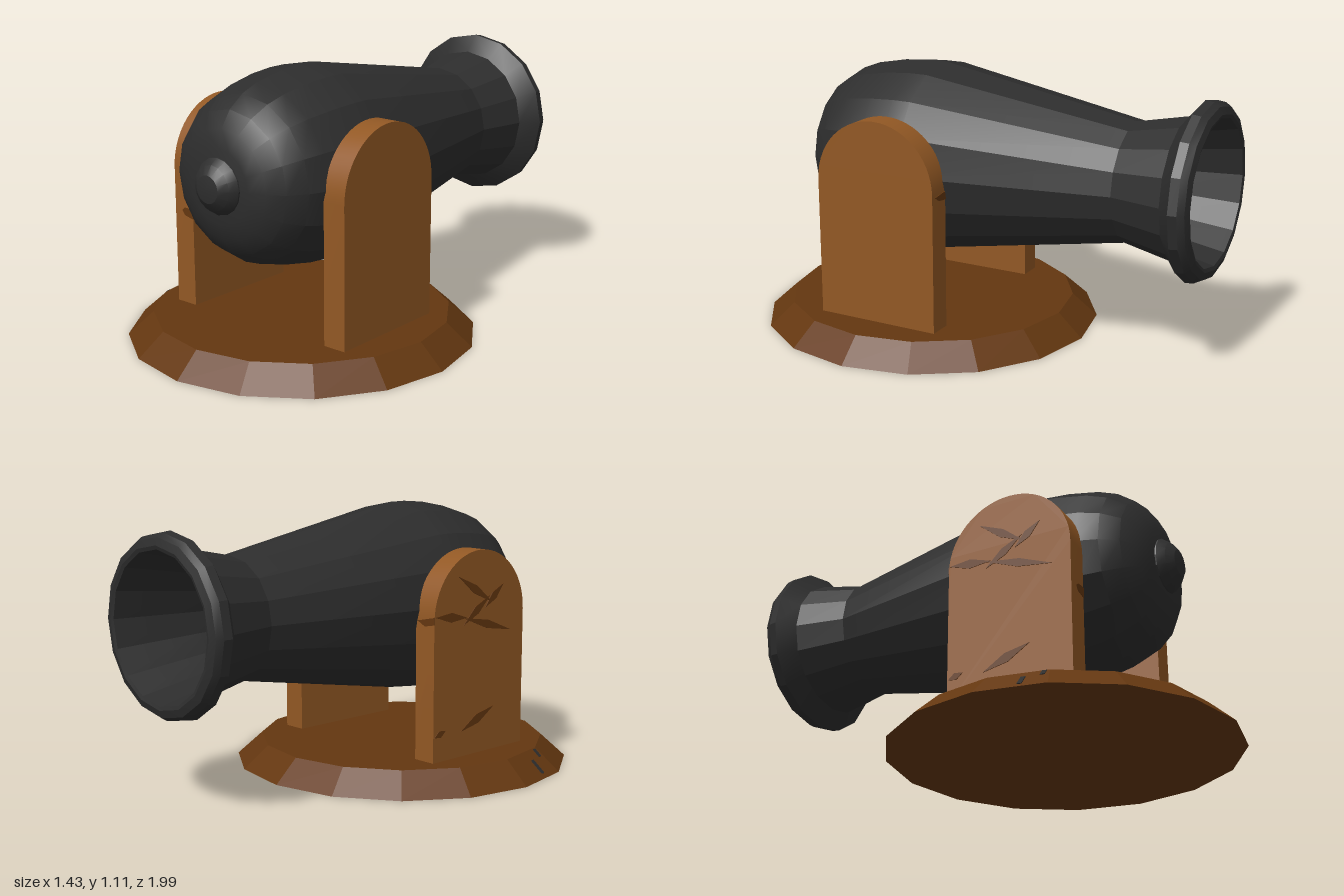
import * as THREE from 'three';
import { toCreasedNormals } from 'three/addons/utils/BufferGeometryUtils.js';

const SIDES = 16;
const CENTER_Z = 0.28;

function makeMesh(name, geometry, material, parent) {
  const mesh = new THREE.Mesh(geometry, material);
  mesh.name = name;
  parent.add(mesh);
  return mesh;
}

// Revolve a profile of [radius, z] pairs around the z axis
function turned(profile) {
  const points = profile.map(([r, z]) => new THREE.Vector2(r, z));
  const geometry = new THREE.LatheGeometry(points, SIDES).rotateX(Math.PI / 2);
  return toCreasedNormals(geometry, 0.36);
}

// Thin plate cut to an outline
function plate(outline, depth = 0.004) {
  const shape = new THREE.Shape(outline.map(([u, v]) => new THREE.Vector2(u, v)));
  return new THREE.ExtrudeGeometry(shape, { depth, bevelEnabled: false });
}

// Pointed sliver from one end to the other
function sliver([u0, v0], [u1, v1], width) {
  const length = Math.hypot(u1 - u0, v1 - v0);
  const nu = -(v1 - v0) / length * width / 2;
  const nv = (u1 - u0) / length * width / 2;
  const mu = (u0 + u1) / 2, mv = (v0 + v1) / 2;
  return plate([[u0, v0], [mu - nu, mv - nv], [u1, v1], [mu + nu, mv + nv]]);
}

export function createModel() {
  const model = new THREE.Group();
  model.name = 'cannon';

  const iron = new THREE.MeshStandardMaterial({ color: 0x2d2d2d });
  iron.name = 'dark iron';
  const wood = new THREE.MeshStandardMaterial({ color: 0x925824 });
  wood.name = 'light wood';
  const darkWood = new THREE.MeshStandardMaterial({ color: 0x643710 });
  darkWood.name = 'dark wood';

  // Round base with a sloping edge
  const baseGeometry = new THREE.CylinderGeometry(0.61, 0.715, 0.095, SIDES);
  const base = makeMesh('base', toCreasedNormals(baseGeometry, 0.2), darkWood, model);
  base.position.set(0, 0.0475, CENTER_Z);

  // Barrel: bore, flared lip, tapering tube and round breech
  const barrel = makeMesh('barrel', turned([
    [0, -0.3], [0.19, -0.3], [0.22, -0.65], [0.295, -0.995],
    [0.31, -1], [0.34, -0.99], [0.355, -0.965], [0.36, -0.93], [0.29, -0.87],
    [0.245, -0.655], [0.4, 0.21], [0.4, 0.29], [0.39, 0.4], [0.365, 0.53],
    [0.335, 0.61], [0.285, 0.68], [0.22, 0.725], [0.15, 0.748], [0, 0.755],
  ]), iron, model);
  barrel.position.y = 0.71;

  // Knob at the breech
  const knob = makeMesh('breechKnob', turned([
    [0.115, 0.735], [0.112, 0.755], [0.09, 0.785], [0.055, 0.81], [0, 0.82],
  ]), iron, model);
  knob.position.y = 0.71;

  // Round-topped side brackets
  const outline = new THREE.Shape();
  outline.moveTo(0.01, 0.09);
  outline.lineTo(0.55, 0.09);
  outline.lineTo(0.55, 0.67);
  outline.absarc(CENTER_Z, 0.67, 0.27, 0, Math.PI, false);
  outline.closePath();
  for (const [name, x] of [['leftBracket', 0.45], ['rightBracket', -0.35]]) {
    const geometry = new THREE.ExtrudeGeometry(outline, {
      depth: 0.1, bevelEnabled: false, curveSegments: 14,
    }).rotateY(-Math.PI / 2);
    makeMesh(name, toCreasedNormals(geometry, 0.5), wood, model).position.x = x;
  }

  // Cracks on the outer face of one bracket, given as [z, y] ends and width
  const cracks = [
    [[0.15, 0.84], [0.35, 0.72], 0.035], [[0.42, 0.79], [0.31, 0.7], 0.035],
    [[0.34, 0.75], [0.18, 0.64], 0.035], [[0.015, 0.69], [0.2, 0.67], 0.04],
    [[0.18, 0.67], [0.47, 0.59], 0.035], [[0.17, 0.2], [0.37, 0.28], 0.04],
    [[0.015, 0.2], [0.08, 0.22], 0.03],
  ];
  for (const [from, to, width] of cracks) {
    const geometry = sliver(from, to, width).rotateY(-Math.PI / 2);
    makeMesh('bracketCrack', geometry, darkWood, model).position.x = -0.449;
  }

  // Chips on the narrow bracket edges
  const frontChip = plate([[-0.41, 0.495], [-0.395, 0.475], [-0.35, 0.465], [-0.35, 0.505], [-0.395, 0.507]]);
  makeMesh('frontChip', frontChip, darkWood, model).position.z = 0.549;
  const backChips = [
    [[0.35, 0.635], [0.4, 0.64], [0.43, 0.66], [0.35, 0.67]],
    [[-0.45, 0.66], [-0.4, 0.65], [-0.36, 0.67], [-0.45, 0.69]],
  ];
  for (const chip of backChips) {
    makeMesh('backChip', plate(chip), darkWood, model).position.z = 0.007;
  }

  // Small dark nicks on the sloping edge of the base
  const nicks = new THREE.Group();
  nicks.name = 'baseNicks';
  nicks.position.z = CENTER_Z;
  nicks.rotation.y = Math.PI / SIDES;
  model.add(nicks);
  for (const [x, y, z, length] of [[-0.659, 0.039, 0.03, 0.07], [-0.617, 0.077, 0.1, 0.04]]) {
    const nick = makeMesh('nick', new THREE.BoxGeometry(length, 0.006, 0.018), iron, nicks);
    nick.position.set(x, y, z);
    nick.rotation.z = 0.745;
  }

  return model;
}
